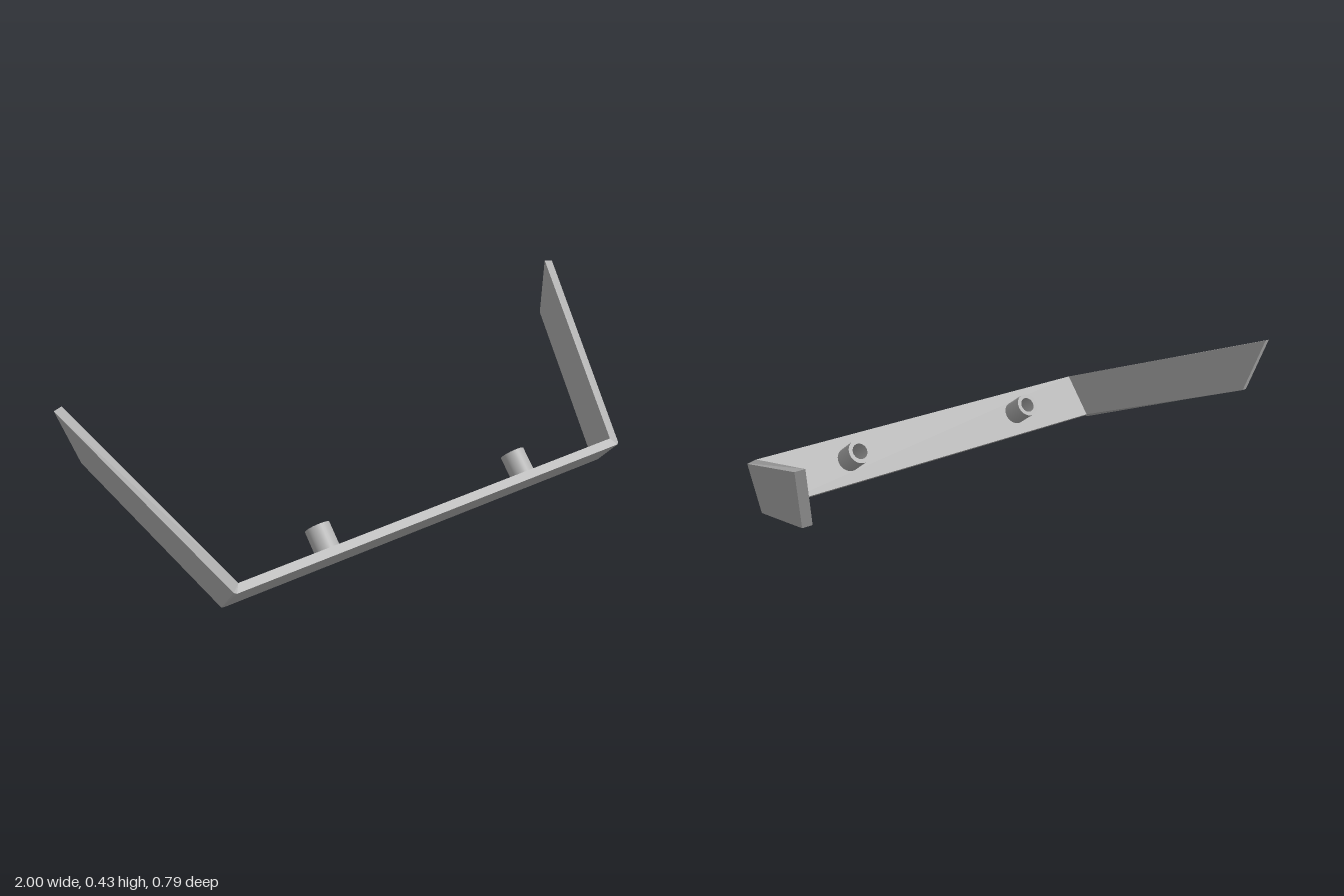
import * as THREE from 'three';

const grey = new THREE.MeshStandardMaterial({ color: 0xb0b0b0 });
grey.name = 'plain grey';

// Flat-faced solid between two matching outlines, counterclockwise from above
function prism(name, top, bottom) {
  const positions = [];
  const face = (pts) => {
    for (let i = 1; i < pts.length - 1; i++) positions.push(...pts[0], ...pts[i], ...pts[i + 1]);
  };
  face(top);
  face([...bottom].reverse());
  top.forEach((t, i) => {
    const j = (i + 1) % top.length;
    face([bottom[i], bottom[j], top[j], t]);
  });
  const geometry = new THREE.BufferGeometry();
  geometry.setAttribute('position', new THREE.Float32BufferAttribute(positions, 3));
  geometry.computeVertexNormals();
  const mesh = new THREE.Mesh(geometry, grey);
  mesh.name = name;
  return mesh;
}

const flip = ([x, y, z]) => [-x, y, z];
const mirrored = (pts) => pts.map(flip).reverse();

export function createModel() {
  const model = new THREE.Group();
  model.name = 'bumper';

  // Corners shared by the front bar and the wings: outer edge, inner mitre
  const outerTop = [0.732, 0.141, 0.395], outerBottom = [0.742, 0.003, 0.297];
  const innerTop = [0.715, 0.158, 0.371], innerBottom = [0.725, 0.019, 0.272];

  // Leaning front bar
  model.add(prism('frontBar',
    [flip(outerTop), outerTop, innerTop, flip(innerTop)],
    [flip(outerBottom), outerBottom, innerBottom, flip(innerBottom)]));

  // Swept-back side wings
  const wingTop = [outerTop, [0.74, 0.143, 0.389], [1, 0.427, -0.387], [0.971, 0.431, -0.395], innerTop];
  const wingBottom = [outerBottom, [0.75, 0, 0.292], [0.957, 0.232, -0.334], [0.928, 0.236, -0.342], innerBottom];
  model.add(prism('leftWing', wingTop, wingBottom));
  model.add(prism('rightWing', mirrored(wingTop), mirrored(wingBottom)));

  // Hollow mounting pegs, square to the back of the bar
  const axis = new THREE.Vector3(0, 0.58, -0.815).normalize();
  const wall = [[0.043, -0.005], [0.043, 0.09], [0.028, 0.09], [0.028, -0.005]];
  // Separate strips keep the rims sharp
  for (const side of [1, -1]) {
    const peg = new THREE.Group();
    peg.name = side > 0 ? 'leftPeg' : 'rightPeg';
    ['outerWall', 'rim', 'bore'].forEach((name, i) => {
      const strip = wall.slice(i, i + 2).map(([r, h]) => new THREE.Vector2(r, h));
      const mesh = new THREE.Mesh(new THREE.LatheGeometry(strip, 32), grey);
      mesh.name = name;
      peg.add(mesh);
    });
    peg.position.set(side * 0.383, 0.089, 0.322);
    peg.quaternion.setFromUnitVectors(new THREE.Vector3(0, 1, 0), axis);
    model.add(peg);
  }
  return model;
}
